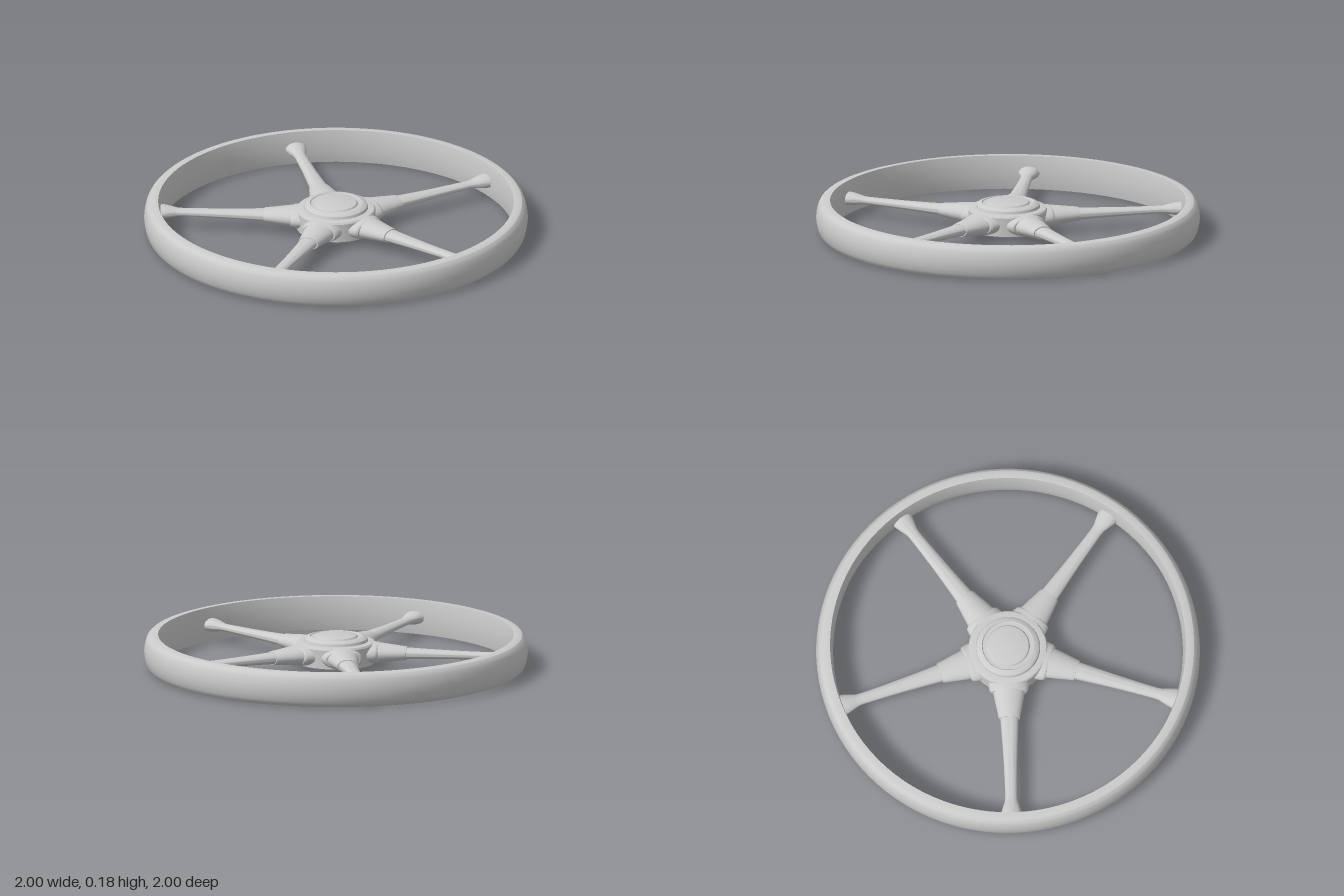
import * as THREE from 'three';
import { toCreasedNormals } from 'three/addons/utils/BufferGeometryUtils.js';

const material = new THREE.MeshStandardMaterial({ color: 0xcccccc });
const MID = 0.09; // height of the spoke axes

// Revolved profile of [radius, height] points with crisp edges kept
function turned(points, segments, crease = 0.5) {
  const profile = points.map(([r, y]) => new THREE.Vector2(r, y));
  return toCreasedNormals(new THREE.LatheGeometry(profile, segments), crease);
}

function part(name, geometry) {
  const mesh = new THREE.Mesh(geometry, material);
  mesh.name = name;
  return mesh;
}

// Flattened revolved piece lying along +z; profile is [half width, distance from hub axis]
function radialPiece(name, points, flatten) {
  const geometry = turned(points, 32);
  geometry.rotateX(Math.PI / 2);
  geometry.scale(1, flatten, 1);
  return part(name, geometry);
}

function createSpoke() {
  const spoke = new THREE.Group();
  spoke.name = 'spoke';
  // Wide collar against the hub
  spoke.add(radialPiece('spokeCollar', [
    [0, 0.12], [0.11, 0.12], [0.105, 0.2], [0.1, 0.222], [0.092, 0.23], [0, 0.23],
  ], 0.52));
  // Tapered sleeve
  spoke.add(radialPiece('spokeSleeve', [
    [0.086, 0.2], [0.081, 0.24], [0.072, 0.29], [0.063, 0.335],
    [0.058, 0.365], [0.055, 0.375], [0, 0.375],
  ], 0.62));
  // Slim arm with a flared foot on the rim
  spoke.add(radialPiece('spokeArm', [
    [0.05, 0.34], [0.047, 0.4], [0.041, 0.5], [0.036, 0.6], [0.033, 0.7],
    [0.031, 0.8], [0.033, 0.83], [0.038, 0.845], [0.046, 0.87],
    [0.053, 0.895], [0.056, 0.92],
  ], 0.62));
  spoke.position.y = MID;
  return spoke;
}

export function createModel() {
  const wheel = new THREE.Group();
  wheel.name = 'spokedWheel';

  // Rim: rounded outside, flat lips, inner wall creased at mid height
  const lower = [
    [0.927, 0], [0.955, 0], [0.97, 0.005], [0.982, 0.016], [0.99, 0.032], [0.997, 0.06],
  ];
  const upper = lower.map(([r, y]) => [r, 2 * MID - y]).reverse();
  const section = [...lower, [1, MID], ...upper, [0.911, MID], lower[0]];
  // Crease angle below the bend of the inner wall, above the steps of the outer curve
  wheel.add(part('rim', turned(section, 96, 0.38)));

  // Hub: drum with a stepped cap and shallow centre disc
  wheel.add(part('hub', turned([
    [0, 0.03], [0.2, 0.03], [0.206, 0.036], [0.206, 0.134], [0.2, 0.143],
    [0.188, 0.146], [0.168, 0.147], [0.164, 0.16], [0.156, 0.167], [0.136, 0.172],
    [0.132, 0.167], [0.114, 0.167], [0.108, 0.175], [0.1, 0.177], [0, 0.177],
  ], 64)));

  for (let i = 0; i < 5; i++) {
    const spoke = createSpoke();
    spoke.rotation.y = (i * Math.PI * 2) / 5;
    wheel.add(spoke);
  }
  return wheel;
}
